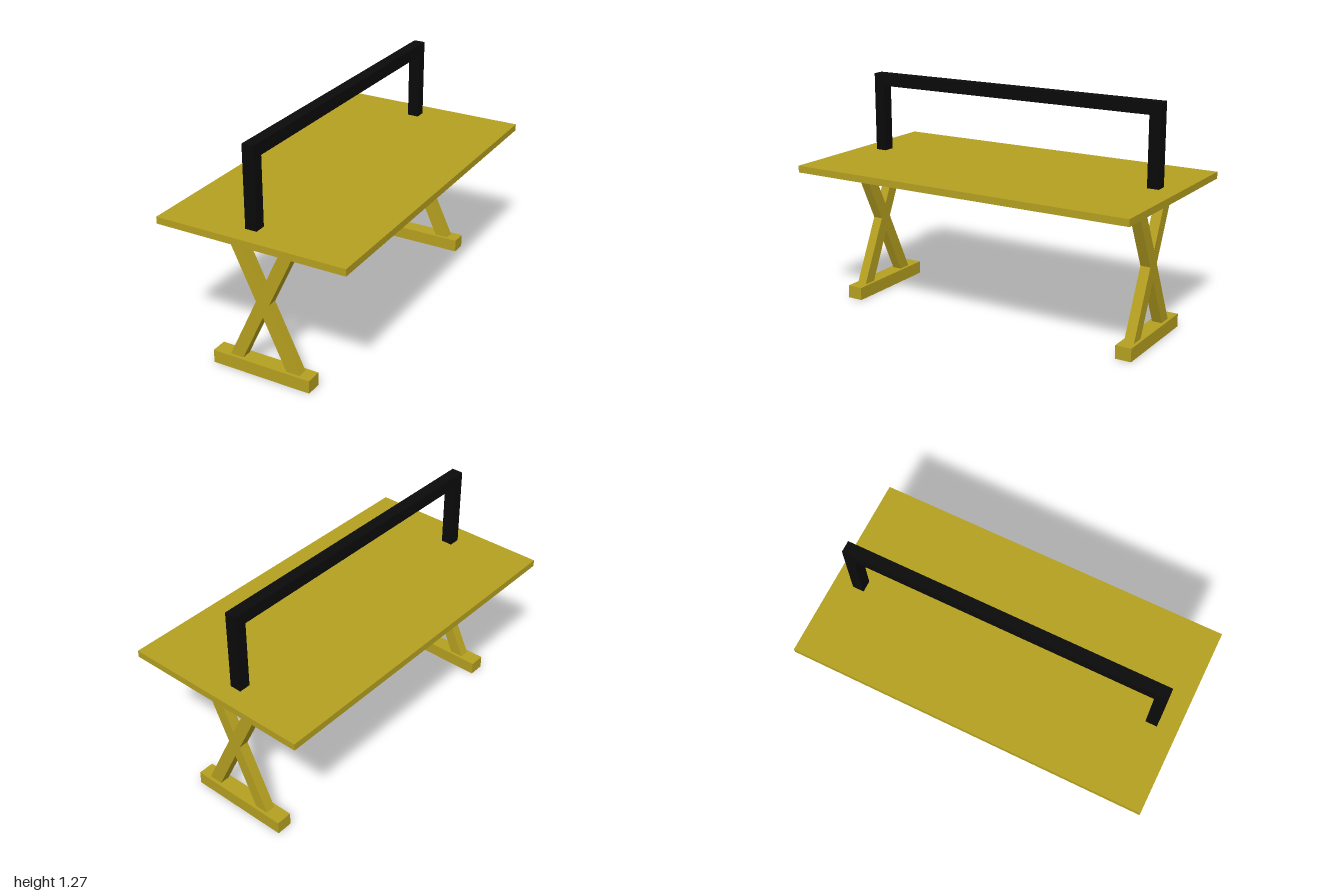
import * as THREE from 'three';

const wood = new THREE.MeshStandardMaterial({ color: 0xb5a020 });
const black = new THREE.MeshStandardMaterial({ color: 0x0a0a0a });

// Box given by its minimum and maximum corners
function box(name, material, [x0, y0, z0], [x1, y1, z1]) {
  const mesh = new THREE.Mesh(new THREE.BoxGeometry(x1 - x0, y1 - y0, z1 - z0), material);
  mesh.name = name;
  mesh.position.set((x0 + x1) / 2, (y0 + y1) / 2, (z0 + z1) / 2);
  return mesh;
}

// Flat outline extruded to a given depth, centred on its own z = 0
function slab(name, material, points, depth) {
  const shape = new THREE.Shape(points.map(([x, y]) => new THREE.Vector2(x, y)));
  const geometry = new THREE.ExtrudeGeometry(shape, { depth, bevelEnabled: false });
  geometry.translate(0, 0, -depth / 2);
  const mesh = new THREE.Mesh(geometry, material);
  mesh.name = name;
  return mesh;
}

export function createModel() {
  const model = new THREE.Group();
  model.name = 'table';

  model.add(box('tabletop', wood, [-0.537, 0.79, -1], [0.537, 0.828, 1]));

  // Crossed legs on a foot beam at each end
  const cross = [
    [-0.212, 0.073], [-0.135, 0.073], [-0.005, 0.35], [0.125, 0.073],
    [0.203, 0.073], [0.034, 0.431], [0.205, 0.79], [0.13, 0.79],
    [-0.005, 0.512], [-0.136, 0.79], [-0.213, 0.79], [-0.043, 0.431],
  ];
  for (const [end, side] of [['front', 1], ['back', -1]]) {
    const trestle = new THREE.Group();
    trestle.name = `${end}Trestle`;
    trestle.position.z = side * 0.858;
    trestle.add(
      slab('crossedLegs', wood, cross, 0.056),
      box('foot', wood, [-0.308, 0, -0.045], [0.268, 0.073, 0.045]),
    );
    model.add(trestle);
  }

  // Square-section rail arching over the top, drawn in side profile
  const arch = [
    [-0.892, 0.828], [-0.828, 0.828], [-0.828, 1.205], [0.828, 1.205],
    [0.828, 0.828], [0.892, 0.828], [0.892, 1.272], [-0.892, 1.272],
  ];
  const rail = slab('overheadRail', black, arch, 0.065);
  rail.rotation.y = Math.PI / 2;
  rail.position.x = -0.051;
  model.add(rail);

  return model;
}
